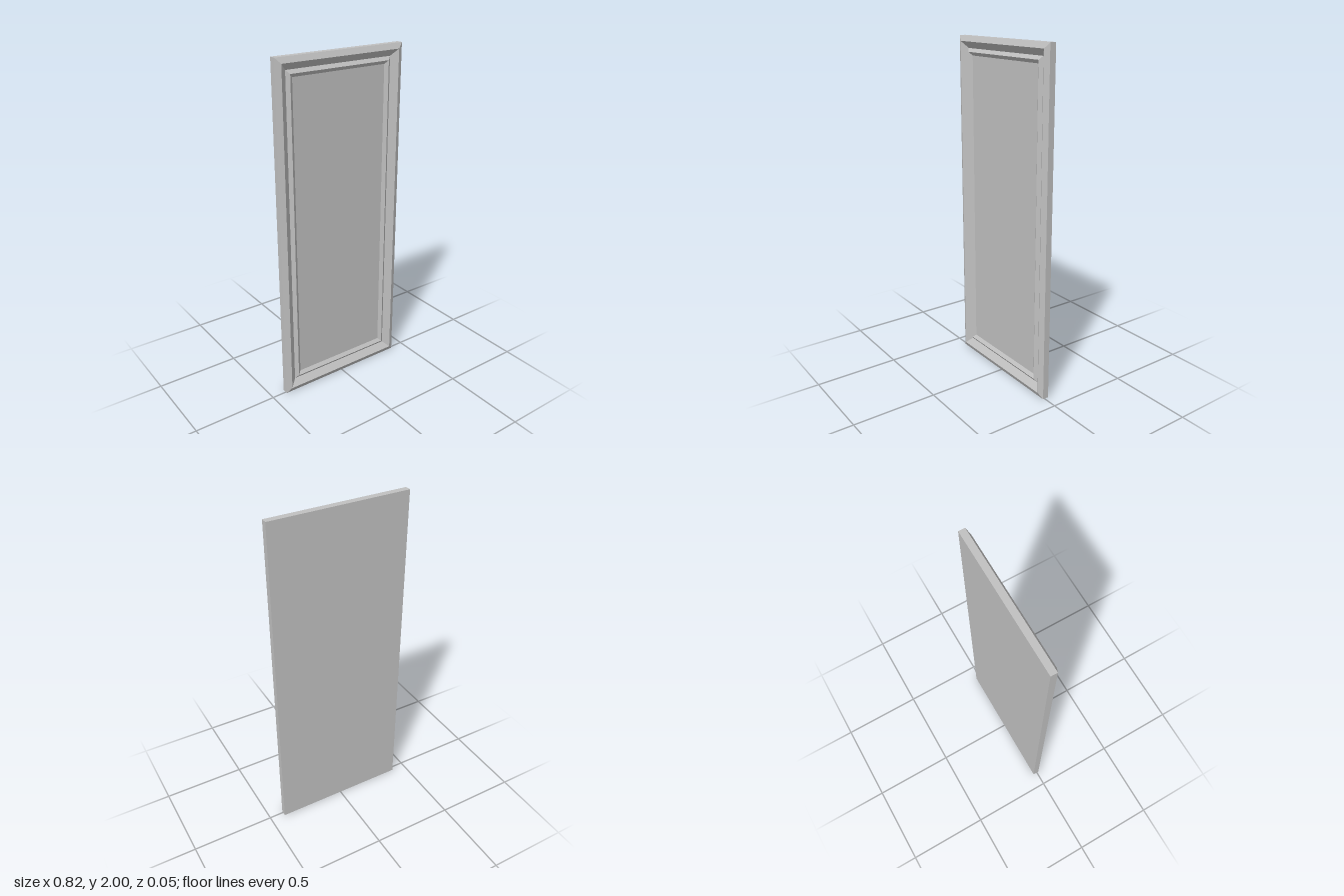
import * as THREE from 'three';

const HALF_W = 0.41, HALF_H = 1;

// Corners of a rectangle inset from the outer edge, counter-clockwise from the front
function ring([inset, z]) {
  const w = HALF_W - inset, h = HALF_H - inset;
  return [[-w, -h, z], [w, -h, z], [w, h, z], [-w, h, z]];
}

// Flat-shaded mitred bands joining successive rectangles
function bands(profile) {
  const pos = [];
  for (let i = 0; i < profile.length - 1; i++) {
    const a = ring(profile[i]), b = ring(profile[i + 1]);
    for (let k = 0; k < 4; k++) {
      const n = (k + 1) % 4;
      pos.push(...a[k], ...a[n], ...b[n], ...a[k], ...b[n], ...b[k]);
    }
  }
  const geo = new THREE.BufferGeometry();
  geo.setAttribute('position', new THREE.Float32BufferAttribute(pos, 3));
  geo.computeVertexNormals();
  return geo;
}

export function createModel() {
  const group = new THREE.Group();
  group.name = 'panelDoor';
  const paint = new THREE.MeshStandardMaterial({ color: 0xc0c0c0 });
  paint.name = 'greyPaint';

  const add = (name, geo) => {
    const mesh = new THREE.Mesh(geo, paint);
    mesh.name = name;
    mesh.position.y = HALF_H;
    group.add(mesh);
    return mesh;
  };

  // Each profile point is [inset, z]
  const back = [0, -0.026], edge = [0, 0.011], ridge = [0.031, 0.026];
  const valley = [0.07, -0.004], bead = [0.09, 0.011], field = [0.11, -0.004];
  add('doorEdge', bands([back, edge]));
  add('frameMoulding', bands([edge, ridge, valley]));
  add('innerBead', bands([valley, bead, field]));

  // Flat centre panel and back face
  const w = 2 * (HALF_W - field[0]), h = 2 * (HALF_H - field[0]);
  add('centrePanel', new THREE.PlaneGeometry(w, h)).position.z = field[1];
  const rear = add('backFace', new THREE.PlaneGeometry(2 * HALF_W, 2 * HALF_H));
  rear.position.z = back[1];
  rear.rotation.y = Math.PI;

  return group;
}
